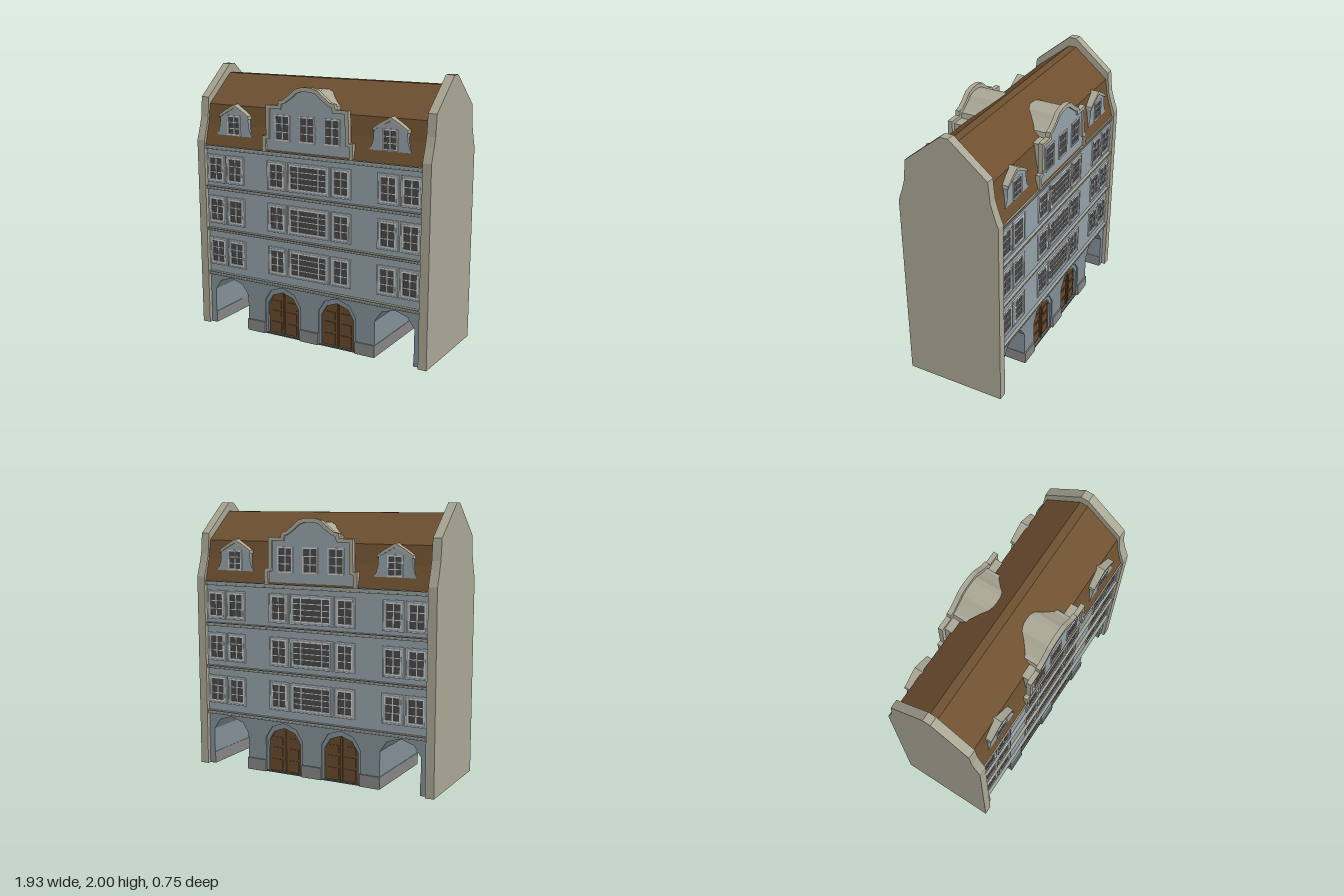
import * as THREE from 'three';

const mat = (color) => new THREE.MeshStandardMaterial({ color, flatShading: true });
const M = {
  stone: mat(0xa9a694), wall: mat(0x93a1a8), base: mat(0x818f96), roof: mat(0x6e5030),
  door: mat(0x66492a), glass: mat(0x484848), frame: mat(0xcccccc), plinth: mat(0x858585), dark: mat(0x555555),
};

function add(parent, name, geo, material) {
  const m = new THREE.Mesh(geo, material);
  m.name = name;
  parent.add(m);
  return m;
}

// Box given by its limits
function box(parent, name, material, x0, x1, y0, y1, z0, z1) {
  const m = add(parent, name, new THREE.BoxGeometry(x1 - x0, y1 - y0, z1 - z0), material);
  m.position.set((x0 + x1) / 2, (y0 + y1) / 2, (z0 + z1) / 2);
  return m;
}

const toShape = (pts) => new THREE.Shape(pts.map(([x, y]) => new THREE.Vector2(x, y)));
const mirrored = (half) => [...half, ...half.filter(([x]) => x > 0).reverse().map(([x, y]) => [-x, y])];

// Extrude an outline (with optional holes) between two depths
function slab(parent, name, material, pts, z0, z1, holes = []) {
  const s = toShape(pts);
  holes.forEach((h) => s.holes.push(toShape(h)));
  const geo = new THREE.ExtrudeGeometry(s, { depth: z1 - z0, bevelEnabled: false });
  return add(parent, name, geo.translate(0, 0, z0), material);
}

// Faceted arch, from left foot over the crown to right foot
const arch = (cx, hw, spring, top, foot = 0) => [
  [cx - hw, foot], [cx - hw, spring], [cx - hw * 0.66, spring + (top - spring) * 0.7], [cx, top],
  [cx + hw * 0.66, spring + (top - spring) * 0.7], [cx + hw, spring], [cx + hw, foot],
];

// Ring of four bars around a rectangle
function ring(g, name, material, hw, hh, t, z0, z1) {
  const rect = (w, h) => [[-w, -h], [w, -h], [w, h], [-w, h]];
  slab(g, name, material, rect(hw, hh), z0, z1, [rect(hw - t, hh - t)]);
}

function windowUnit(parent, x, y, z, w, h, cols, rows, surround = true) {
  const g = new THREE.Group();
  g.name = 'window';
  g.position.set(x, y, z);
  const hw = w / 2, hh = h / 2;
  box(g, 'glass', M.glass, -hw, hw, -hh, hh, -0.004, 0.002);
  ring(g, 'sash', M.frame, hw + 0.004, hh + 0.004, 0.01, 0, 0.008);
  if (surround) {
    ring(g, 'surround', M.wall, hw + 0.018, hh + 0.018, 0.016, 0, 0.007);
    ring(g, 'surroundEdge', M.frame, hw + 0.021, hh + 0.021, 0.006, 0, 0.01);
  }
  cols.forEach((c) => box(g, 'mullion', M.frame, c * w - 0.004, c * w + 0.004, -hh, hh, 0, 0.006));
  for (let i = 1; i < rows; i++) {
    const b = -hh + (h * i) / rows;
    box(g, 'glazingBar', M.frame, -hw, hw, b - 0.003, b + 0.003, 0, 0.005);
  }
  parent.add(g);
}

function door(parent, cx) {
  const g = new THREE.Group();
  g.name = 'door';
  g.position.x = cx;
  slab(g, 'doorFrame', M.base, [...arch(0, 0.155, 0.265, 0.385), ...arch(0, 0.135, 0.24, 0.345).reverse()], 0.305, 0.335);
  slab(g, 'doorLeaves', M.door, arch(0, 0.137, 0.24, 0.347), 0.305, 0.318);
  box(g, 'meetingStile', M.door, -0.007, 0.007, 0, 0.335, 0.31, 0.327);
  for (const s of [-1, 1]) {
    [[0.02, 0.1], [0.12, 0.19], [0.21, 0.27]].forEach(([a, b]) =>
      box(g, 'doorPanel', M.door, s * 0.068 - 0.042, s * 0.068 + 0.042, a, b, 0.31, 0.324));
  }
  parent.add(g);
}

function gable(parent) {
  const g = new THREE.Group();
  g.name = 'gable';
  const outer = mirrored([[0.375, 1.42], [0.375, 1.53], [0.342, 1.53], [0.338, 1.755], [0.235, 1.755],
    [0.23, 1.79], [0.19, 1.8], [0.13, 1.845], [0.09, 1.88], [0.04, 1.893], [0, 1.895]]);
  const inner = mirrored([[0.345, 1.42], [0.345, 1.505], [0.315, 1.51], [0.31, 1.73], [0.212, 1.73],
    [0.205, 1.768], [0.18, 1.775], [0.115, 1.82], [0.08, 1.85], [0.04, 1.862], [0, 1.864]]);
  const n = outer.length;
  // Coping follows the stepped outline and stays open at the foot
  const right = (p) => p.slice(0, (n + 1) / 2), left = (p) => p.slice((n - 1) / 2);
  for (const side of [right, left])
    slab(g, 'gableCoping', M.stone, [...side(outer), ...side(inner).reverse()], 0.335, 0.37);
  slab(g, 'gableFace', M.wall, inner, 0.335, 0.355);
  slab(g, 'gableRoof', M.stone, inner, 0.01, 0.34);
  for (const x of [-0.205, 0, 0.205]) windowUnit(g, x, 1.595, 0.355, 0.118, 0.178, [0], 3, false);
  parent.add(g);
}

function dormer(parent, cx) {
  const g = new THREE.Group();
  g.name = 'dormer';
  g.position.x = cx;
  slab(g, 'dormerFace', M.wall, mirrored([[0.16, 1.5], [0.145, 1.525], [0.13, 1.57], [0.125, 1.64], [0.09, 1.66], [0, 1.71]]), 0.3, 0.338);
  slab(g, 'dormerBody', M.wall, mirrored([[0.12, 1.5], [0.12, 1.64], [0, 1.7]]), 0.2, 0.31);
  // Slightly curved coping over the dormer
  slab(g, 'dormerCoping', M.stone, [[-0.135, 1.63], [-0.13, 1.653], [-0.075, 1.69], [0, 1.732], [0.075, 1.69],
    [0.13, 1.653], [0.135, 1.63], [0.075, 1.665], [0, 1.705], [-0.075, 1.665]], 0.18, 0.345);
  windowUnit(g, 0, 1.578, 0.338, 0.108, 0.138, [0], 3, false);
  parent.add(g);
}

// Everything seen on one long side
function facade() {
  const g = new THREE.Group();
  g.name = 'facade';
  // Ground floor skin with arched openings
  const skin = [[-0.9, 0]];
  [[-0.7, 0.275], [-0.235, 0.265], [0.235, 0.265], [0.7, 0.275]].forEach(([x, s]) => skin.push(...arch(x, 0.155, s, 0.385)));
  skin.push([0.9, 0], [0.9, 0.4], [-0.9, 0.4]);
  slab(g, 'groundFloorFront', M.base, skin, 0.305, 0.345);
  [[-0.548, -0.39], [-0.08, 0.08], [0.39, 0.548]].forEach(([a, b]) => box(g, 'plinth', M.plinth, a, b, 0, 0.09, 0.3, 0.355));
  for (const x of [-0.235, 0.235]) door(g, x);
  // String courses with edge mouldings
  [[0.4, 0.425], [0.755, 0.775], [1.082, 1.105], [1.39, 1.42]].forEach(([a, b]) => {
    box(g, 'stringCourse', M.wall, -0.9, 0.9, a, b, 0.33, 0.358);
    box(g, 'courseTop', M.stone, -0.9, 0.9, b - 0.007, b, 0.33, 0.368);
    box(g, 'courseFoot', M.stone, -0.9, 0.9, a - 0.004, a + 0.004, 0.33, 0.362);
  });
  // Three floors of windows
  for (const y of [0.59, 0.92, 1.24]) {
    for (const x of [0.27, 0.64, 0.815])
      for (const s of [-1, 1]) windowUnit(g, s * x, y, 0.345, 0.118, 0.175, [0], 3);
    windowUnit(g, 0, y, 0.345, 0.305, 0.175, [-0.28, 0.28], 4);
  }
  gable(g);
  for (const x of [-0.645, 0.645]) dormer(g, x);
  return g;
}

// Extrude a z-y profile along x, centred on x = cx
function across(parent, name, material, pts, cx, width) {
  const geo = new THREE.ExtrudeGeometry(toShape(pts), { depth: width, bevelEnabled: false });
  geo.translate(0, 0, -width / 2).rotateY(-Math.PI / 2).translate(cx, 0, 0);
  return add(parent, name, geo, material);
}

export function createModel() {
  const model = new THREE.Group();
  model.name = 'townHouse';

  // Core with two passages running through the ground floor
  slab(model, 'groundFloor', M.base, [[-0.9, 0], ...arch(-0.7, 0.155, 0.275, 0.385), ...arch(0.7, 0.155, 0.275, 0.385),
    [0.9, 0], [0.9, 0.4], [-0.9, 0.4]], -0.31, 0.31);
  box(model, 'upperFloors', M.wall, -0.9, 0.9, 0.4, 1.42, -0.345, 0.345);
  box(model, 'floorSlab', M.dark, -0.54, 0.54, -0.001, 0.01, -0.34, 0.34);
  for (const s of [-1, 1]) {
    box(model, 'passagePlinth', M.plinth, s * 0.543 - 0.005, s * 0.543 + 0.005, 0, 0.09, -0.345, 0.345);
    box(model, 'passagePlinth', M.plinth, s * 0.857 - 0.005, s * 0.857 + 0.005, 0, 0.09, -0.345, 0.345);
  }

  // Broken-pitch roof between tall end walls
  across(model, 'roof', M.roof, mirrored([[0.358, 1.42], [0.335, 1.5], [0.312, 1.58], [0.29, 1.72], [0.03, 1.932]]), 0, 1.8);
  const endWall = mirrored([[0.375, 0], [0.375, 1.45], [0.34, 1.55], [0.32, 1.62], [0.305, 1.77], [0.03, 2]]);
  for (const s of [-1, 1]) across(model, 'endWall', M.stone, endWall, s * 0.9325, 0.065);

  // Same facade on both long sides
  const front = facade();
  const back = facade();
  back.name = 'backFacade';
  back.rotation.y = Math.PI;
  model.add(front, back);
  return model;
}
